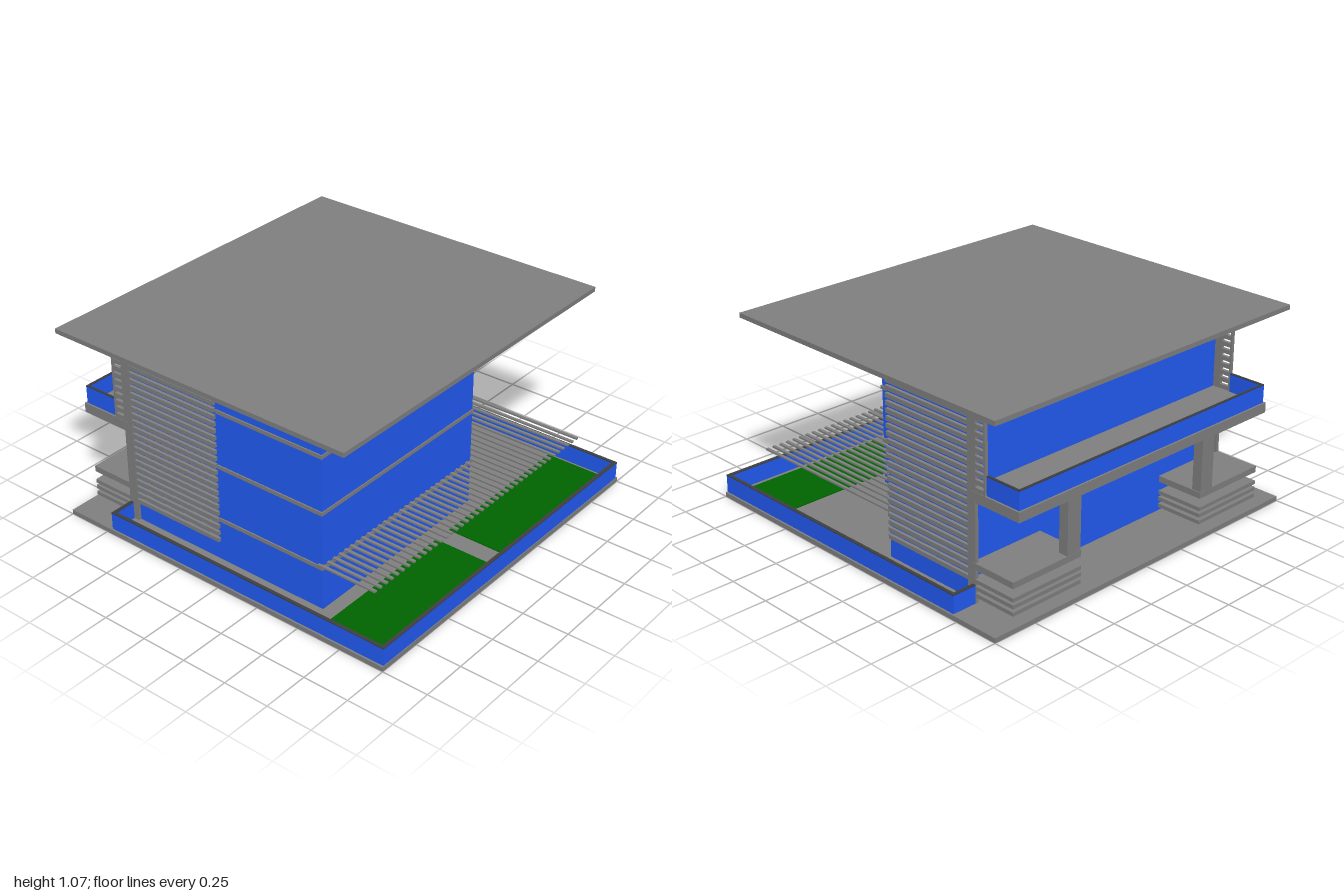
import * as THREE from 'three';

const grey = new THREE.MeshStandardMaterial({ color: 0x808080 });
const dark = new THREE.MeshStandardMaterial({ color: 0x404040 });
const blue = new THREE.MeshStandardMaterial({ color: 0x225bf4 });
const green = new THREE.MeshStandardMaterial({ color: 0x006400 });

export function createModel() {
  const house = new THREE.Group();
  house.name = 'house';

  // Box given by its limits on each axis
  function block(name, material, [x0, x1], [y0, y1], [z0, z1], parent = house) {
    const mesh = new THREE.Mesh(new THREE.BoxGeometry(Math.abs(x1 - x0), y1 - y0, z1 - z0), material);
    mesh.position.set((x0 + x1) / 2, (y0 + y1) / 2, (z0 + z1) / 2);
    mesh.name = name;
    parent.add(mesh);
  }
  // Thin blue panel finished with a dark cap
  function panel(name, x, [y0, y1], z, parent) {
    block(name, blue, x, [y0, y1 - 0.005], z, parent);
    block(name + 'Cap', dark, x, [y1 - 0.005, y1], z, parent);
  }
  function group(name) {
    const g = new THREE.Group();
    g.name = name;
    house.add(g);
    return g;
  }

  // Ground slab and flat roof
  block('groundSlab', grey, [-1, 1], [0, 0.025], [-1, 1]);
  block('roof', grey, [-1, 1], [1.045, 1.07], [-1, 0.778]);

  // Main body: full-width rear volume and a projecting front volume
  block('rearVolume', blue, [-0.838, 0.838], [0.025, 1.045], [-0.68, -0.115]);
  block('frontVolume', blue, [-0.838, 0.333], [0.025, 1.045], [-0.115, 0.52]);

  // Storey bands wrapping the front volume and the recessed wall
  const bands = group('storeyBands');
  for (const y of [0.25, 0.553, 0.858]) {
    block('frontBand', grey, [-0.845, 0.34], [y, y + 0.02], [-0.115, 0.525], bands);
    block('recessBand', grey, [0.333, 0.845], [y, y + 0.02], [-0.125, -0.108], bands);
  }

  // Garden: lawns either side of the path, one returning along the left edge
  const garden = group('garden');
  for (const s of [-1, 1]) block('lawn', green, [s * 0.055, s * 0.955], [0.025, 0.03], [0.6, 0.95], garden);
  block('sideLawn', green, [-0.955, -0.88], [0.025, 0.03], [0.35, 0.6], garden);

  // Low boundary fence with returns to the house at the rear
  const fence = group('fence');
  const fenceY = [0.025, 0.123];
  panel('frontFence', [-0.99, 0.99], fenceY, [0.977, 0.996], fence);
  for (const s of [-1, 1]) {
    panel('sideFence', [s * 0.972, s * 0.99], fenceY, [-0.72, 0.977], fence);
    panel('fenceReturn', [s * 0.85, s * 0.972], fenceY, [-0.72, -0.702], fence);
  }

  // Pergola of thin slats above the ground floor
  const pergola = group('pergola');
  const slats = 41;
  for (let i = 0; i < slats; i++) {
    const x = -0.842 + (1.684 * i) / (slats - 1);
    const back = x > 0.333 ? -0.12 : 0.5;
    block('pergolaSlat', grey, [x - 0.008, x + 0.008], [0.271, 0.28], [back, 0.835], pergola);
  }

  // Side louvres with corner posts, carried on as open screens by the balcony
  const louvres = group('sideLouvres');
  for (const s of [-1, 1]) {
    const x = [s * 0.836, s * 0.854];
    block('cornerPost', grey, x, [0.025, 1.045], [-0.722, -0.67], louvres);
    block('screenPost', grey, x, [0.59, 1.045], [-0.785, -0.775], louvres);
    for (let i = 0; i < 24; i++) {
      const y = 0.131 + i * 0.0385;
      block('louvre', grey, x, [y, y + 0.022], [y > 0.59 ? -0.78 : -0.7, -0.12], louvres);
    }
  }

  // Rear balcony: floor slab and low parapet
  const balcony = group('balcony');
  const parapetY = [0.592, 0.69];
  block('balconyFloor', grey, [-0.855, 0.855], [0.54, 0.592], [-1, -0.68], balcony);
  panel('rearParapet', [-0.845, 0.845], parapetY, [-0.99, -0.978], balcony);
  for (const s of [-1, 1]) {
    panel('sideParapet', [s * 0.833, s * 0.845], parapetY, [-0.978, -0.787], balcony);
  }

  // Rear platforms, stacked slabs below them, and the balcony columns
  const porch = group('rearPlatforms');
  for (const s of [-1, 1]) {
    const x = [s * 0.42, s * 0.855], z = [-0.965, -0.7];
    block('platform', grey, x, [0.2, 0.233], z, porch);
    for (const y of [0.06, 0.097, 0.132]) block('platformStep', grey, x, [y, y + 0.02], z, porch);
    block('column', grey, [s * 0.425, s * 0.51], [0.233, 0.54], [-0.964, -0.91], porch);
  }

  return house;
}
